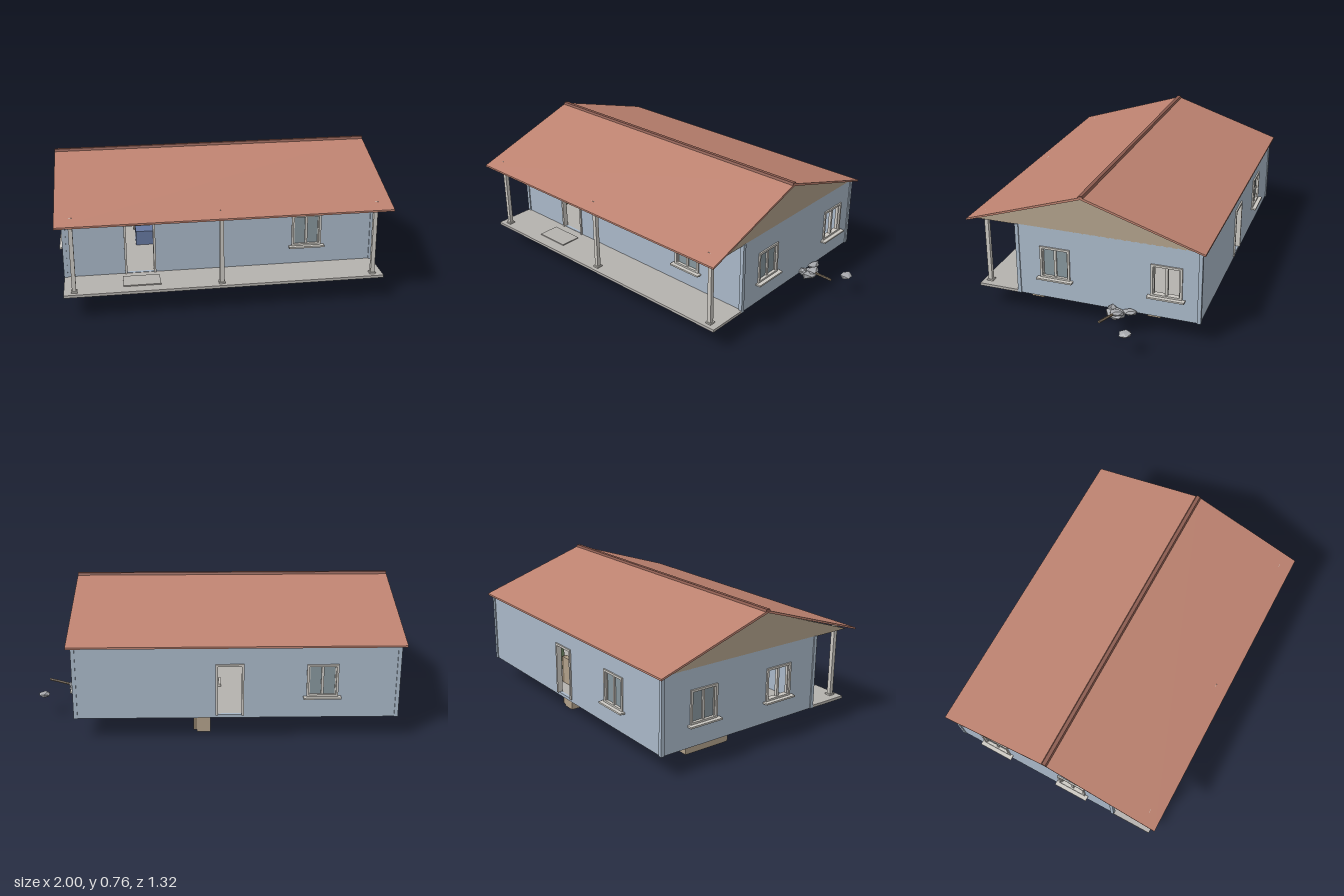
import * as THREE from 'three';

const mat = (color, side = THREE.FrontSide) =>
  new THREE.MeshStandardMaterial({ color, side, flatShading: true });
const M = {
  wall: mat(0xa9b8c8), roof: mat(0xbd8270), ridge: mat(0x8a5a4e), beige: mat(0xb0a08a),
  frame: mat(0xcbc8c2), slab: mat(0xb5b2ae), glass: mat(0x86959c), green: mat(0x6f8763),
  blue: mat(0x6678a0), brown: mat(0x8a7a66), dark: mat(0x6e6862), rock: mat(0xa6a8ac),
};

function add(parent, name, geometry, material) {
  const mesh = new THREE.Mesh(geometry, material);
  mesh.name = name;
  parent.add(mesh);
  return mesh;
}

// Box given by its limits on each axis
function box(parent, name, material, x0, x1, y0, y1, z0, z1) {
  const mesh = add(parent, name, new THREE.BoxGeometry(x1 - x0, y1 - y0, z1 - z0), material);
  mesh.position.set((x0 + x1) / 2, (y0 + y1) / 2, (z0 + z1) / 2);
  return mesh;
}

function polygon(points) {
  return new THREE.Shape(points.map(([x, y]) => new THREE.Vector2(x, y)));
}

// Extrude a (z, y) profile along x
function extrudeAlongX(parent, name, material, points, x0, x1) {
  const geo = new THREE.ExtrudeGeometry(polygon(points), { depth: x1 - x0, bevelEnabled: false });
  geo.rotateY(-Math.PI / 2);
  const mesh = add(parent, name, geo, material);
  mesh.position.x = x1;
  return mesh;
}

const FLOOR = 0.145, TOP = 0.54, THICK = 0.018;

// Casing around an opening; local +z points out of the house
function casing(parent, a, b, y0, y1, withBottom) {
  const t = 0.012, zi = -THICK - 0.004, zo = 0.008;
  box(parent, 'casingSide', M.frame, a, a + t, y0, y1, zi, zo);
  box(parent, 'casingSide', M.frame, b - t, b, y0, y1, zi, zo);
  box(parent, 'casingTop', M.frame, a, b, y1 - t, y1, zi, zo);
  if (withBottom) box(parent, 'casingBottom', M.frame, a, b, y0, y0 + t, zi, zo);
}

function windowUnit(parent, center, glazed) {
  const g = new THREE.Group();
  g.name = 'window';
  g.position.x = center;
  const h = 0.084, y0 = 0.25, y1 = 0.432;
  casing(g, -h, h, y0, y1, true);
  box(g, 'mullion', M.frame, -0.007, 0.007, y0, y1, -0.016, 0);
  box(g, 'sill', M.frame, -0.1, 0.1, 0.243, 0.252, -THICK, 0.03);
  for (const s of [-1, 1]) {
    const pane = [s * 0.007, s * 0.072].sort((p, q) => p - q);
    if (glazed) box(g, 'glass', M.glass, ...pane, y0, y1, -0.012, -0.008);
    box(g, 'sashStile', M.frame, s * 0.069 - 0.003, s * 0.069 + 0.003, y0, y1, -0.016, -0.002);
  }
  parent.add(g);
}

// Wall with openings, drawn in its own plane and turned to face outward
function wall(parent, name, { from, to, angle, x = 0, z = 0, windows = [], doors = [] }) {
  const g = new THREE.Group();
  g.name = name;
  const shape = polygon([[from, 0.13], [to, 0.13], [to, TOP], [from, TOP]]);
  const cut = (a, b, y0, y1) =>
    shape.holes.push(new THREE.Path(polygon([[a, y0], [a, y1], [b, y1], [b, y0]]).getPoints()));
  for (const [c, glazed] of windows) {
    cut(c - 0.08, c + 0.08, 0.253, 0.428);
    windowUnit(g, c, glazed);
  }
  for (const [a, b] of doors) {
    cut(a + 0.004, b - 0.004, FLOOR + 0.002, 0.432);
    casing(g, a, b, FLOOR, 0.436, false);
  }
  const geo = new THREE.ExtrudeGeometry(shape, { depth: THICK, bevelEnabled: false });
  geo.translate(0, 0, -THICK);
  add(g, name + 'Panel', geo, M.wall);
  g.rotation.y = angle;
  g.position.set(x, 0, z);
  parent.add(g);
}

let seed = 7;
const rand = () => (seed = (seed * 16807) % 2147483647) / 2147483647;

// Irregular stone: an icosahedron with each corner pushed in or out
function rock(parent, x, y, z, rx, ry, rz) {
  const geo = new THREE.IcosahedronGeometry(1, 0);
  const p = geo.attributes.position, scale = new Map(), v = new THREE.Vector3();
  for (let i = 0; i < p.count; i++) {
    v.fromBufferAttribute(p, i);
    const key = v.toArray().map((n) => n.toFixed(2)).join();
    if (!scale.has(key)) scale.set(key, 0.75 + 0.35 * rand());
    v.multiplyScalar(scale.get(key));
    p.setXYZ(i, v.x * rx, v.y * ry, v.z * rz);
  }
  geo.computeVertexNormals();
  add(parent, 'rock', geo, M.rock).position.set(x, y, z);
}

export function createModel() {
  const house = new THREE.Group();
  house.name = 'house';

  // Floor and porch
  box(house, 'houseFloor', M.slab, -0.965, 0.745, 0.13, FLOOR, -0.625, 0.375);
  box(house, 'porchFloor', M.slab, -0.975, 0.755, 0.13, FLOOR, 0.375, 0.615);
  box(house, 'doorStep', M.slab, -0.66, -0.46, FLOOR, 0.151, 0.43, 0.55);
  for (const x of [-0.92, -0.135, 0.7]) {
    box(house, 'porchPost', M.frame, x - 0.011, x + 0.011, FLOOR, 0.565, 0.564, 0.586);
    box(house, 'postFoot', M.frame, x - 0.017, x + 0.017, FLOOR, 0.153, 0.557, 0.593);
  }

  // Outer walls
  wall(house, 'frontWall', { from: -0.97, to: 0.75, angle: 0, z: 0.38, windows: [[0.37, true]], doors: [[-0.645, -0.475]] });
  wall(house, 'backWall', { from: -0.75, to: 0.97, angle: Math.PI, z: -0.63, windows: [[0.565, true]], doors: [[0.0, 0.15]] });
  wall(house, 'leftWall', { from: -0.38, to: 0.63, angle: Math.PI / 2, x: 0.75, windows: [[-0.163, true], [0.45, false]] });
  wall(house, 'rightWall', { from: -0.63, to: 0.38, angle: -Math.PI / 2, x: -0.97, windows: [[-0.375, true], [0.12, false]] });
  for (const x of [-0.966, 0.746])
    for (const z of [-0.626, 0.376])
      box(house, 'cornerBoard', M.wall, x - 0.01, x + 0.01, 0.13, TOP, z - 0.01, z + 0.01);

  // Roof, ridge cap and gables
  extrudeAlongX(house, 'roof', M.roof,
    [[-0.655, 0.532], [0, 0.742], [0.655, 0.532], [0.655, 0.542], [0, 0.755], [-0.655, 0.542]], -1, 0.78);
  extrudeAlongX(house, 'ridgeCap', M.ridge,
    [[-0.018, 0.746], [0.018, 0.746], [0.01, 0.762], [-0.01, 0.762]], -1, 0.78);
  for (const x of [-0.97, 0.732])
    extrudeAlongX(house, 'gable', M.beige, [[-0.61, 0.537], [0.61, 0.537], [0, 0.741]], x, x + THICK);

  // Inside partitions and furniture
  box(house, 'partition', M.beige, -0.2, -0.185, FLOOR, TOP, -0.61, 0.36);
  box(house, 'partition', M.beige, 0.2, 0.73, FLOOR, TOP, -0.13, -0.115);
  box(house, 'cabinet', M.green, -0.7, -0.58, 0.25, 0.45, -0.46, -0.4);
  box(house, 'cabinetBase', M.beige, -0.7, -0.58, FLOOR, 0.25, -0.46, -0.4);
  box(house, 'locker', M.green, 0.3, 0.36, FLOOR, 0.45, -0.45, -0.41);
  box(house, 'blueChest', M.blue, -0.565, -0.45, 0.118, 0.23, -0.11, -0.01);
  box(house, 'bed', M.green, -0.945, -0.845, 0.115, 0.2, 0.03, 0.33);
  box(house, 'bench', M.beige, -0.94, -0.86, 0.08, 0.2, -0.46, -0.19);
  box(house, 'tray', M.beige, -0.255, -0.19, 0.105, 0.16, 0.01, 0.15);
  box(house, 'mat', M.brown, 0.45, 0.7, 0.122, 0.15, 0.05, 0.25);
  box(house, 'shelfFoot', M.beige, 0.66, 0.72, 0.103, 0.2, -0.41, -0.34);
  box(house, 'shelfFoot', M.beige, 0.66, 0.72, 0.103, 0.2, 0.25, 0.32);

  // Cupboards reaching below the floor
  for (const [z0, z1] of [[0.085, 0.245], [-0.53, -0.37]]) {
    box(house, 'cupboard', M.beige, 0.025, 0.1, 0, 0.3, z0, z1);
    box(house, 'cupboardDoor', M.brown, 0.1, 0.12, 0.012, 0.3, z0, z0 + 0.03);
  }

  // Open rectangular basin below the floor
  const basin = new THREE.Group();
  basin.name = 'basin';
  for (const z of [-0.24, -0.15]) box(basin, 'basinSide', M.frame, -0.04, 0.18, 0.104, 0.16, z, z + 0.014);
  for (const x of [-0.04, 0.166]) box(basin, 'basinEnd', M.frame, x, x + 0.014, 0.104, 0.16, -0.24, -0.136);
  house.add(basin);

  // Chair legs
  for (const [x, y, z] of [[-0.58, 0.045, -0.33], [-0.565, 0.04, -0.26], [-0.53, 0.05, -0.36],
    [-0.46, 0.05, -0.27], [-0.425, 0.05, -0.34], [-0.405, 0.04, -0.25]])
    box(house, 'chairLeg', M.dark, x - 0.005, x + 0.005, y, 0.26, z - 0.005, z + 0.005);
  box(house, 'chairSeat', M.brown, -0.59, -0.52, 0.25, 0.262, -0.37, -0.25);
  box(house, 'chairSeat', M.brown, -0.47, -0.395, 0.25, 0.262, -0.35, -0.24);

  // Rubble and a stick beside the left wall
  const rubble = new THREE.Group();
  rubble.name = 'rubble';
  rock(rubble, 0.79, 0.128, -0.19, 0.055, 0.03, 0.06);
  rock(rubble, 0.81, 0.147, -0.2, 0.035, 0.018, 0.045);
  rock(rubble, 0.775, 0.14, -0.26, 0.03, 0.018, 0.045);
  rock(rubble, 0.77, 0.14, -0.16, 0.03, 0.022, 0.03);
  rock(rubble, 0.71, 0.118, -0.21, 0.045, 0.018, 0.04);
  rock(rubble, 0.963, 0.131, -0.3, 0.037, 0.018, 0.038);
  const stick = add(rubble, 'stick', new THREE.CylinderGeometry(0.007, 0.007, 0.15, 6), M.brown);
  stick.position.set(0.88, 0.153, -0.175);
  stick.quaternion.setFromUnitVectors(new THREE.Vector3(0, 1, 0), new THREE.Vector3(0.14, 0.022, 0.035).normalize());
  house.add(rubble);

  return house;
}
